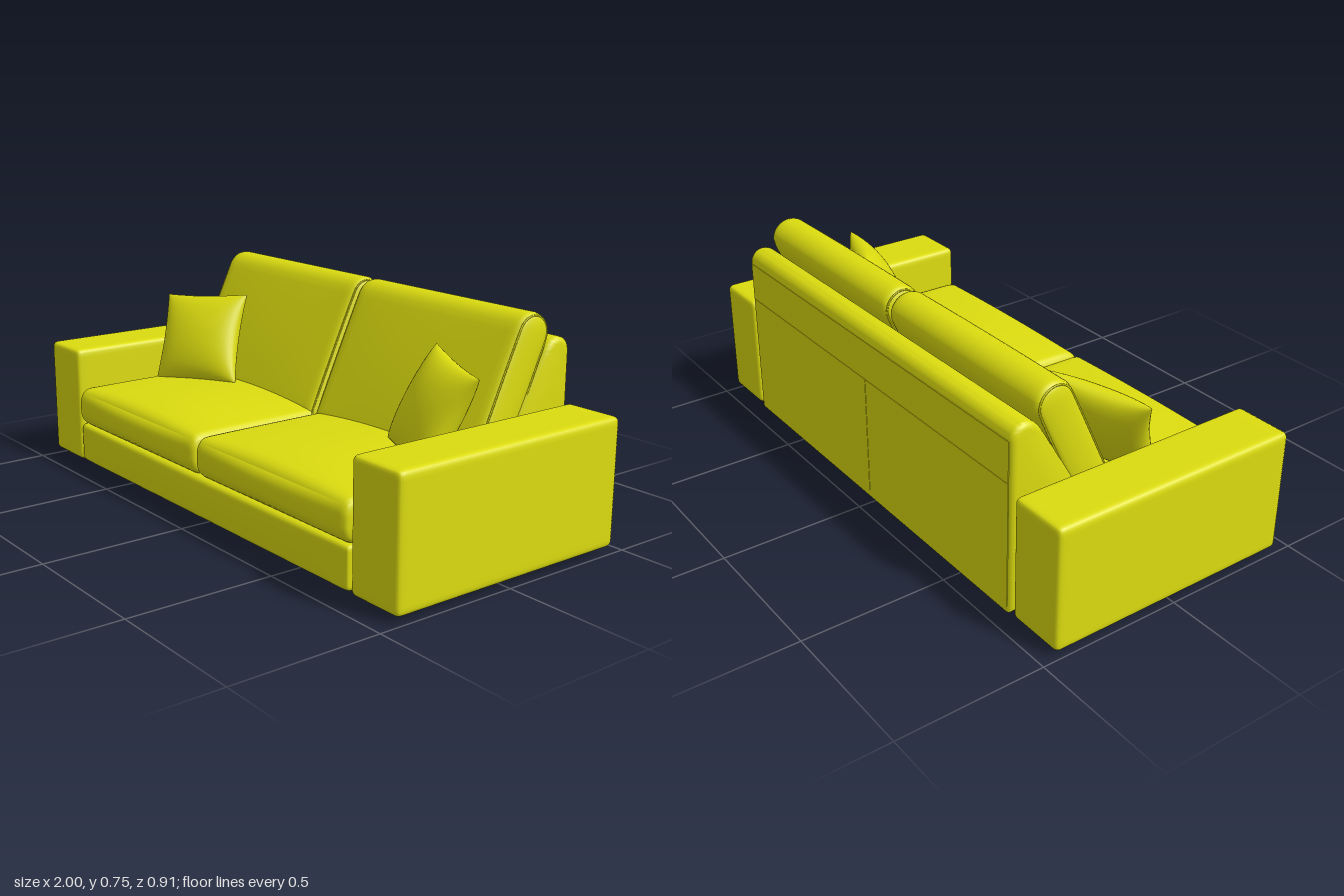
import * as THREE from 'three';
import { mergeVertices, toCreasedNormals } from 'three/addons/utils/BufferGeometryUtils.js';

// Unit cube grid, denser near its edges, reshaped by a rule and smoothed
function shapedBox(segs, rule) {
  const g = new THREE.BoxGeometry(2, 2, 2, ...segs);
  g.deleteAttribute('uv');
  g.deleteAttribute('normal');
  const pos = g.attributes.position;
  const p = new THREE.Vector3();
  for (let i = 0; i < pos.count; i++) {
    p.fromBufferAttribute(pos, i);
    p.set(...p.toArray().map((t) => Math.sin((t * Math.PI) / 2)));
    rule(p);
    pos.setXYZ(i, p.x, p.y, p.z);
  }
  const merged = mergeVertices(g, 1e-5);
  merged.computeVertexNormals();
  return merged;
}

// Box with a separate edge radius per axis and optional bulge on its top and front
function softBox(size, radius, top = 0, front = 0) {
  return shapedBox([24, 24, 24], (p) => {
    const n = p.toArray();
    const inner = [];
    const d = new THREE.Vector3();
    n.forEach((t, i) => {
      const half = size[i] / 2;
      const lim = half - radius[i];
      inner[i] = Math.max(-lim, Math.min(lim, t * half));
      d.setComponent(i, (t * half - inner[i]) / radius[i]);
    });
    d.normalize();
    p.set(...inner.map((v, i) => v + d.getComponent(i) * radius[i]));
    const fade = (t) => 1 - t * t;
    if (p.y > 0) p.y += top * fade(n[0]) * (1 - n[2] ** 4) * (p.y / (size[1] / 2));
    if (p.z > 0) p.z += front * fade(n[0]) * fade(n[1]) * (p.z / (size[2] / 2));
  });
}

export function createModel() {
  const sofa = new THREE.Group();
  sofa.name = 'sofa';
  const fabric = new THREE.MeshStandardMaterial({ color: 0xdcdc10 });
  fabric.name = 'yellow fabric';
  const black = new THREE.MeshStandardMaterial({ color: 0x111111 });
  black.name = 'black feet';

  const add = (name, geometry, x, y, z, material = fabric, parent = sofa) => {
    const mesh = new THREE.Mesh(geometry, material);
    mesh.name = name;
    mesh.position.set(x, y, z);
    parent.add(mesh);
    return mesh;
  };

  // Base under the seats, with a thin cover below
  add('base', softBox([1.57, 0.145, 0.88], [0.015, 0.02, 0.02], 0, 0.005), 0, 0.0975, 0);
  add('underCover', new THREE.BoxGeometry(1.36, 0.006, 0.72), 0, 0.0245, 0);

  // Sloped back frame
  const profile = new THREE.Shape();
  profile.moveTo(-0.149, 0.045);
  profile.lineTo(-0.149, 0.25);
  profile.lineTo(-0.359, 0.6);
  profile.quadraticCurveTo(-0.38, 0.64, -0.405, 0.64);
  profile.quadraticCurveTo(-0.435, 0.64, -0.435, 0.605);
  profile.lineTo(-0.435, 0.045);
  const frame = new THREE.ExtrudeGeometry(profile, {
    depth: 1.53, bevelSize: 0.02, bevelThickness: 0.02, bevelSegments: 4, curveSegments: 10,
  });
  frame.translate(0, 0, -0.765);
  frame.rotateY(-Math.PI / 2);
  add('backFrame', toCreasedNormals(frame, 0.6), 0, 0, 0);

  // Rear panels separated by fine seams
  add('rearUpperPanel', new THREE.BoxGeometry(1.535, 0.135, 0.006), 0, 0.5425, -0.4535);
  for (const s of [-1, 1]) {
    add('rearLowerPanel', new THREE.BoxGeometry(0.766, 0.426, 0.006), s * 0.3845, 0.259, -0.4535);
  }

  // Piping outline for the back cushion sides
  const halfAxis = 0.22;
  const outline = [];
  for (let i = 0; i <= 24; i++) {
    const a = (i / 24) * Math.PI * 2;
    const end = i <= 12 ? halfAxis : -halfAxis;
    outline.push(new THREE.Vector3(0, end + Math.sin(a) * 0.06, Math.cos(a) * 0.06));
    if (i === 12) outline.push(new THREE.Vector3(0, -halfAxis, -0.06));
  }
  const piping = new THREE.TubeGeometry(
    new THREE.CatmullRomCurve3(outline, true, 'centripetal'), 120, 0.003, 6, true);

  const arm = softBox([0.208, 0.423, 0.893], [0.02, 0.02, 0.02]);
  const seat = softBox([0.782, 0.138, 0.7], [0.02, 0.055, 0.04], 0.024, 0.01);
  const cushion = softBox([0.782, 0.58, 0.138], [0.022, 0.069, 0.069], 0, 0.01);
  const foot = new THREE.CylinderGeometry(0.025, 0.025, 0.024, 20);
  const glide = new THREE.CylinderGeometry(0.018, 0.018, 0.01, 16);

  for (const s of [-1, 1]) {
    const side = s > 0 ? 'left' : 'right';
    add(side + 'Arm', arm, s * 0.896, 0.2335, -0.0085);
    add(side + 'SeatCushion', seat, s * 0.394, 0.235, 0.096);

    // Leaning back cushion with piped sides
    const back = new THREE.Group();
    back.name = side + 'BackCushion';
    back.position.set(s * 0.394, 0.48, -0.2025);
    back.rotation.x = -0.435;
    sofa.add(back);
    add('cushion', cushion, 0, 0, 0, fabric, back);
    for (const e of [-1, 1]) add('piping', piping, e * 0.38, 0, 0, fabric, back);

    // Scatter pillow: pinched square, thick in the middle
    const u = new THREE.Vector3(0.165, -0.015 * s, 0.069 * s);
    const v = new THREE.Vector3(0.044 * s, 0.154, -0.06);
    const n = new THREE.Vector3().crossVectors(u, v).normalize();
    const pillow = shapedBox([24, 24, 1], (p) => {
      const a = 1 - p.x * p.x;
      const b = 1 - p.y * p.y;
      const thick = Math.sign(p.z) * 0.068 * Math.pow(Math.max(a * b, 0), 0.45);
      const pu = p.x * (1 - 0.1 * b);
      const pv = p.y * (1 - 0.05 * a);
      p.set(0, 0, 0).addScaledVector(u, pu).addScaledVector(v, pv).addScaledVector(n, thick);
    });
    add(side + 'Pillow', pillow, s * 0.639, 0.461, -0.006);

    // Feet under the arms and small glides under the base
    for (const z of [0.355, -0.365]) {
      add('foot', foot, s * 0.885, 0.012, z, black);
      add('glide', glide, s * 0.72, 0.021, Math.sign(z) * 0.33);
    }
  }
  add('centreFoot', foot, 0, 0.012, -0.02, black);

  return sofa;
}
